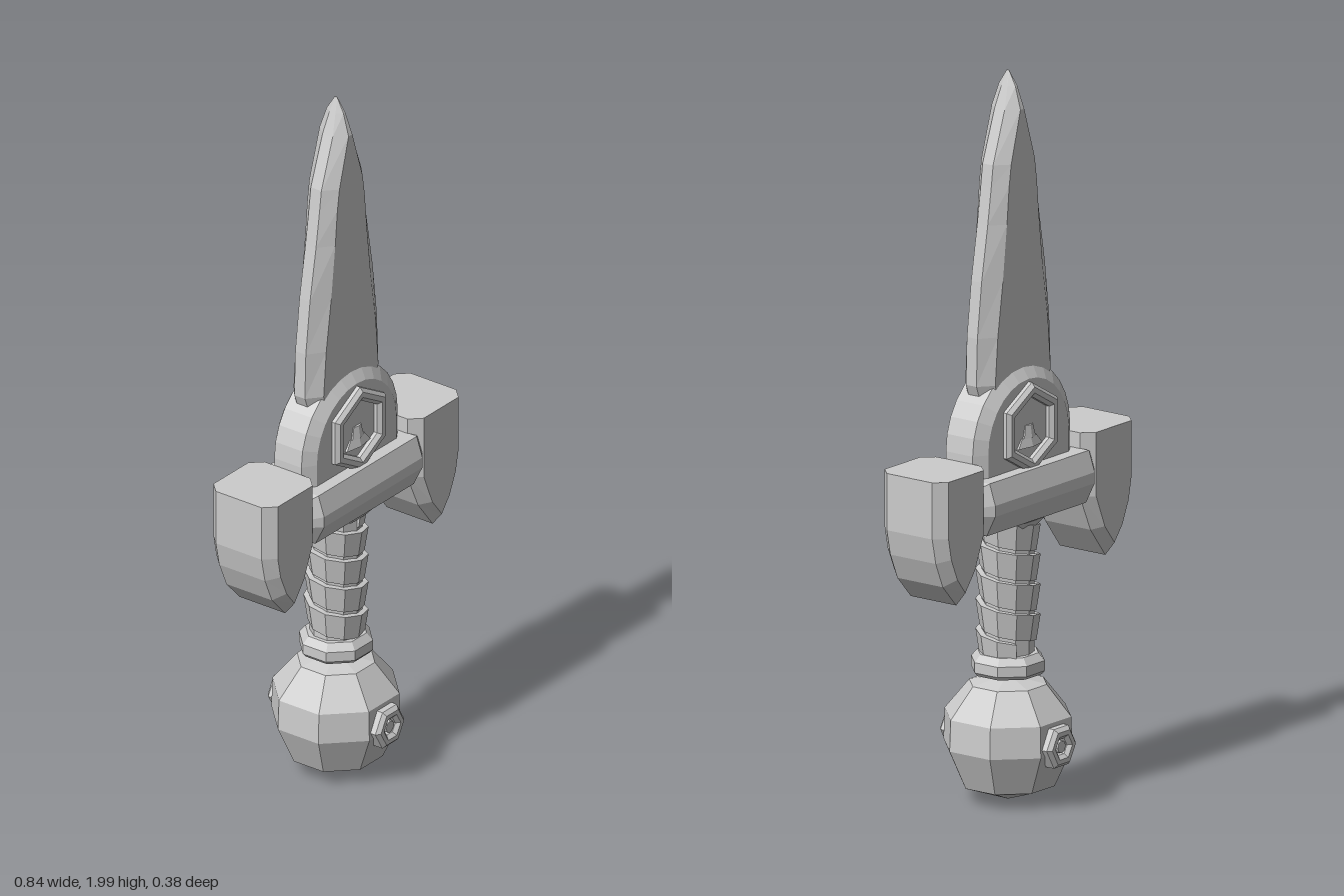
import * as THREE from 'three';

const steel = new THREE.MeshStandardMaterial({ color: 0xcccccc, flatShading: true });
steel.name = 'plain grey';

function add(parent, name, geometry) {
  const mesh = new THREE.Mesh(geometry, steel);
  mesh.name = name;
  parent.add(mesh);
  return mesh;
}

// Closed solid through matching rings of [x, y, z] points, counter-clockwise about the path
function loft(rings) {
  const n = rings[0].length, pos = [], idx = [];
  rings.forEach(r => r.forEach(p => pos.push(...p)));
  for (let i = 0; i < rings.length - 1; i++)
    for (let j = 0; j < n; j++) {
      const a = i * n + j, b = i * n + (j + 1) % n;
      idx.push(a, b, b + n, a, b + n, a + n);
    }
  [0, rings.length - 1].forEach((i, end) => {
    const c = pos.length / 3;
    pos.push(...[0, 1, 2].map(k => rings[i].reduce((s, p) => s + p[k], 0) / n));
    for (let j = 0; j < n; j++) {
      const a = i * n + j, b = i * n + (j + 1) % n;
      end ? idx.push(c, a, b) : idx.push(c, b, a);
    }
  });
  const g = new THREE.BufferGeometry();
  g.setAttribute('position', new THREE.Float32BufferAttribute(pos, 3));
  g.setIndex(idx);
  const flat = g.toNonIndexed();
  flat.computeVertexNormals();
  return flat;
}

// Slab in the xy plane whose front and back rims step in to a smaller outline
function chamferedSlab(outer, inner, zOuter, zInner) {
  const at = (pts, z) => pts.map(([x, y]) => [x, y, z]);
  return loft([at(inner, -zInner), at(outer, -zOuter), at(outer, zOuter), at(inner, zInner)]);
}

// Polygon plate with a matching polygon hole, lying along z
function polygonRing(sides, outer, inner, depth, turn, bevel) {
  const points = r => Array.from({ length: sides }, (_, i) => {
    const a = turn + i / sides * Math.PI * 2;
    return new THREE.Vector2(r * Math.cos(a), r * Math.sin(a));
  });
  const shape = new THREE.Shape(points(outer - bevel));
  shape.holes.push(new THREE.Path(points(inner + bevel)));
  return new THREE.ExtrudeGeometry(shape, {
    depth: depth - bevel, bevelEnabled: true, bevelThickness: bevel,
    bevelSize: bevel, bevelSegments: 1
  });
}

function lathe(profile, sides) {
  const pts = profile.map(([r, y]) => new THREE.Vector2(r / Math.cos(Math.PI / sides), y));
  return new THREE.LatheGeometry(pts, sides, Math.PI / sides);
}

export function createModel() {
  const model = new THREE.Group();
  model.name = 'dagger';

  // Blade: y, half width, half width of the flat, half thickness
  const sections = [
    [1.1, 0.13, 0.1, 0.05], [1.17, 0.157, 0.118, 0.05], [1.3, 0.153, 0.107, 0.05],
    [1.45, 0.135, 0.085, 0.05], [1.6, 0.109, 0.068, 0.05], [1.7, 0.094, 0.059, 0.05],
    [1.76, 0.086, 0.05, 0.05], [1.9, 0.036, 0.008, 0.048], [1.96, 0.015, 0.004, 0.028],
    [2, 0.001, 0.0005, 0.004]
  ];
  add(model, 'blade', loft(sections.map(([y, w, f, t]) => {
    const e = t * 0.35;
    return [[w, e], [w, -e], [f, -t], [-f, -t], [-w, -e], [-w, e], [-f, t], [f, t]]
      .map(([x, z]) => [x, y, z]);
  })));

  // Arched blade socket
  const arch = r => {
    const pts = [[-r, 0.86], [r, 0.86]];
    for (let i = 0; i <= 14; i++) {
      const a = i / 14 * Math.PI;
      pts.push([r * Math.cos(a), 0.995 + r * Math.sin(a)]);
    }
    return pts;
  };
  add(model, 'bladeSocket', chamferedSlab(arch(0.208), arch(0.172), 0.045, 0.069));

  // Hexagonal frame with a small ornament, on both faces
  for (const side of [1, -1]) {
    const emblem = new THREE.Group();
    emblem.name = side > 0 ? 'frontEmblem' : 'backEmblem';
    emblem.rotation.y = side > 0 ? 0 : Math.PI;
    const frame = add(emblem, 'hexFrame', polygonRing(6, 0.123, 0.087, 0.03, Math.PI / 6, 0.01));
    frame.position.set(0, 1.035, 0.06);
    const mound = add(emblem, 'ornamentBase', new THREE.CylinderGeometry(0.035, 0.058, 0.025, 6));
    mound.position.set(0, 0.997, 0.067);
    mound.scale.z = 0.3;
    const knob = add(emblem, 'ornamentKnob', new THREE.CylinderGeometry(0.018, 0.028, 0.035, 6));
    knob.position.set(0, 1.025, 0.067);
    knob.scale.z = 0.5;
    model.add(emblem);
  }

  // Crossguard bar with bevelled ends
  const bar = [[-0.105, 0.932], [0.105, 0.932], [0.124, 0.875], [0.124, 0.845],
    [0.095, 0.787], [-0.095, 0.787], [-0.124, 0.845], [-0.124, 0.875]];
  add(model, 'crossguardBar', loft([[-0.24, 0.82], [-0.212, 1], [0.212, 1], [0.24, 0.82]]
    .map(([x, s]) => bar.map(([z, y]) => [x, 0.86 + (y - 0.86) * s, z * s]))));

  // Drooping guard ends
  const outer = [[0.21, 0.975], [0.21, 0.8], [0.255, 0.7], [0.318, 0.618],
    [0.375, 0.68], [0.405, 0.75], [0.42, 0.82], [0.42, 0.975]];
  const inner = [[0.24, 0.975], [0.24, 0.8], [0.277, 0.71], [0.318, 0.657],
    [0.352, 0.7], [0.378, 0.76], [0.39, 0.82], [0.39, 0.975]];
  for (const s of [1, -1]) {
    const end = add(model, s > 0 ? 'leftGuardEnd' : 'rightGuardEnd', chamferedSlab(outer, inner, 0.076, 0.107));
    end.rotation.y = s > 0 ? 0 : Math.PI;
  }

  // Grip core, spiral wrap and collars
  add(model, 'gripCore', new THREE.CylinderGeometry(0.07, 0.07, 0.46, 10)).position.y = 0.59;
  const wrap = [], pitch = 0.082, turns = 4.4, steps = 10;
  for (let i = 0; i <= turns * steps; i++) {
    const a = i / steps * Math.PI * 2, y = 0.775 - i / steps * pitch;
    wrap.push([[0.05, 0.035], [0.086, 0.035], [0.075, -0.037], [0.05, -0.037]]
      .map(([r, dy]) => [r * Math.sin(a), y + dy, r * Math.cos(a)]));
  }
  add(model, 'gripWrap', loft(wrap));
  add(model, 'upperCollar', lathe([[0, 0.765], [0.075, 0.765], [0.092, 0.785], [0.092, 0.82], [0, 0.82]], 8));
  add(model, 'lowerCollar', lathe([[0, 0.355], [0.085, 0.355], [0.093, 0.365], [0.093, 0.393],
    [0.077, 0.413], [0, 0.413]], 8));

  // Faceted pommel
  add(model, 'pommel', lathe([[0, 0.008], [0.118, 0.052], [0.163, 0.16], [0.16, 0.245],
    [0.098, 0.328], [0, 0.35]], 8));

  // Hexagonal bolts on the pommel
  for (const side of [1, -1]) {
    const bolt = new THREE.Group();
    bolt.name = side > 0 ? 'frontBolt' : 'backBolt';
    bolt.rotation.y = side > 0 ? 0 : Math.PI;
    bolt.position.y = 0.18;
    add(bolt, 'boltRim', polygonRing(6, 0.06, 0.026, 0.04, 0, 0.01)).position.z = 0.148;
    const core = add(bolt, 'boltCore', new THREE.CylinderGeometry(0.017, 0.021, 0.03, 8));
    core.rotation.x = Math.PI / 2;
    core.position.z = 0.165;
    model.add(bolt);
  }
  return model;
}
